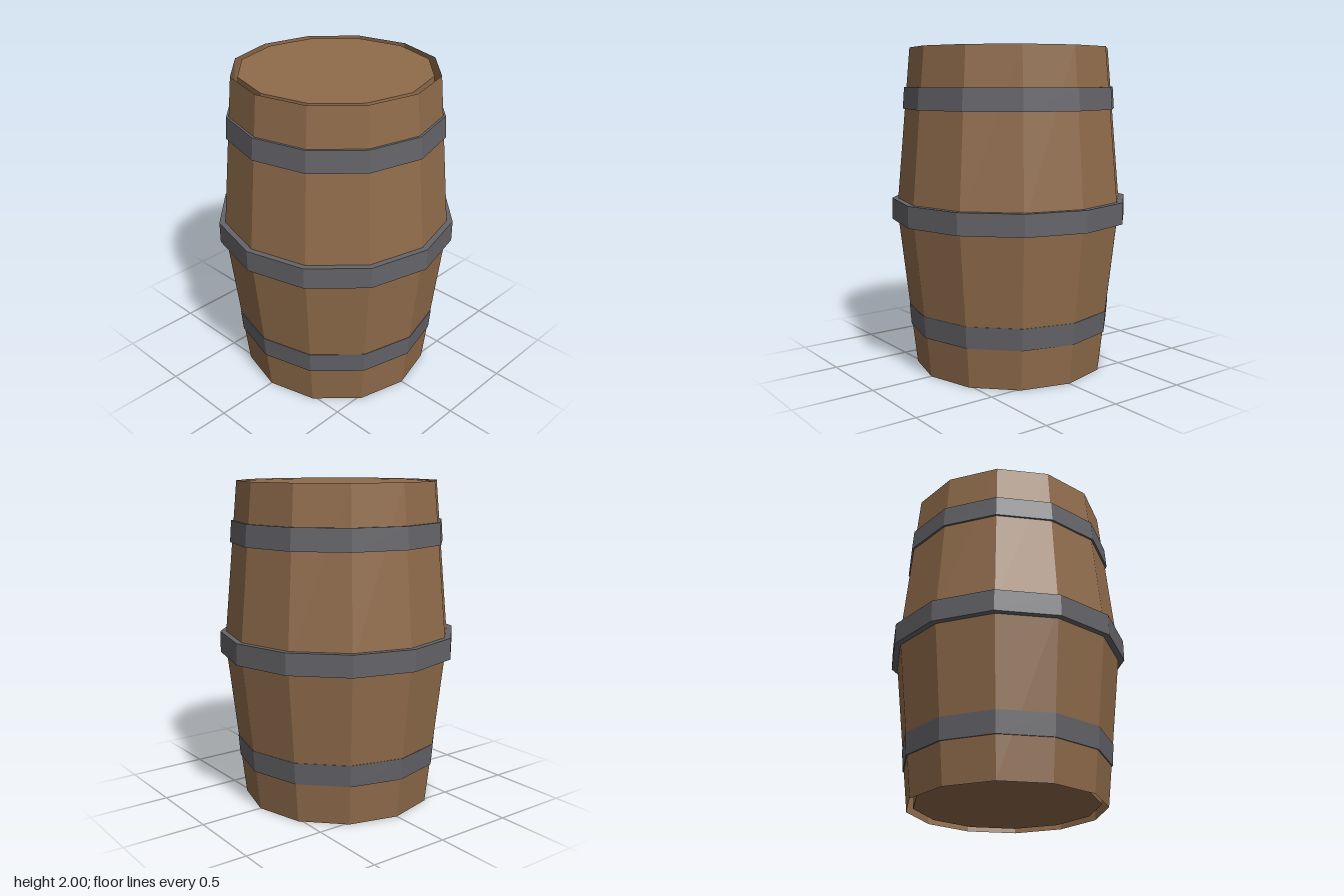
import * as THREE from 'three';

const SIDES = 12;

export function createModel() {
  const group = new THREE.Group();
  group.name = 'barrel';

  const wood = new THREE.MeshStandardMaterial({ color: 0x906c4b, flatShading: true, side: THREE.DoubleSide });
  wood.name = 'wood';
  const iron = new THREE.MeshStandardMaterial({ color: 0x646368, flatShading: true });
  iron.name = 'iron';

  // Twelve-sided tapered ring or drum between two heights
  function drum(name, y0, r0, y1, r1, material, open = false) {
    const geometry = new THREE.CylinderGeometry(r1, r0, y1 - y0, SIDES, 1, open);
    const mesh = new THREE.Mesh(geometry, material);
    mesh.name = name;
    mesh.position.y = (y0 + y1) / 2;
    group.add(mesh);
  }

  // Staves: two open tapered shells meeting at the belly
  drum('lowerStaves', 0, 0.6, 1, 0.712, wood, true);
  drum('upperStaves', 1, 0.712, 2, 0.62, wood, true);

  // Inner drum whose ends are the lid and the base, set in from the rim
  drum('lidAndBase', 0.02, 0.56, 1.995, 0.578, wood);

  // Iron hoops
  drum('lowerHoop', 0.25, 0.635, 0.385, 0.646, iron);
  drum('middleHoop', 0.937, 0.743, 1.07, 0.743, iron);
  drum('upperHoop', 1.627, 0.667, 1.76, 0.657, iron);

  return group;
}
